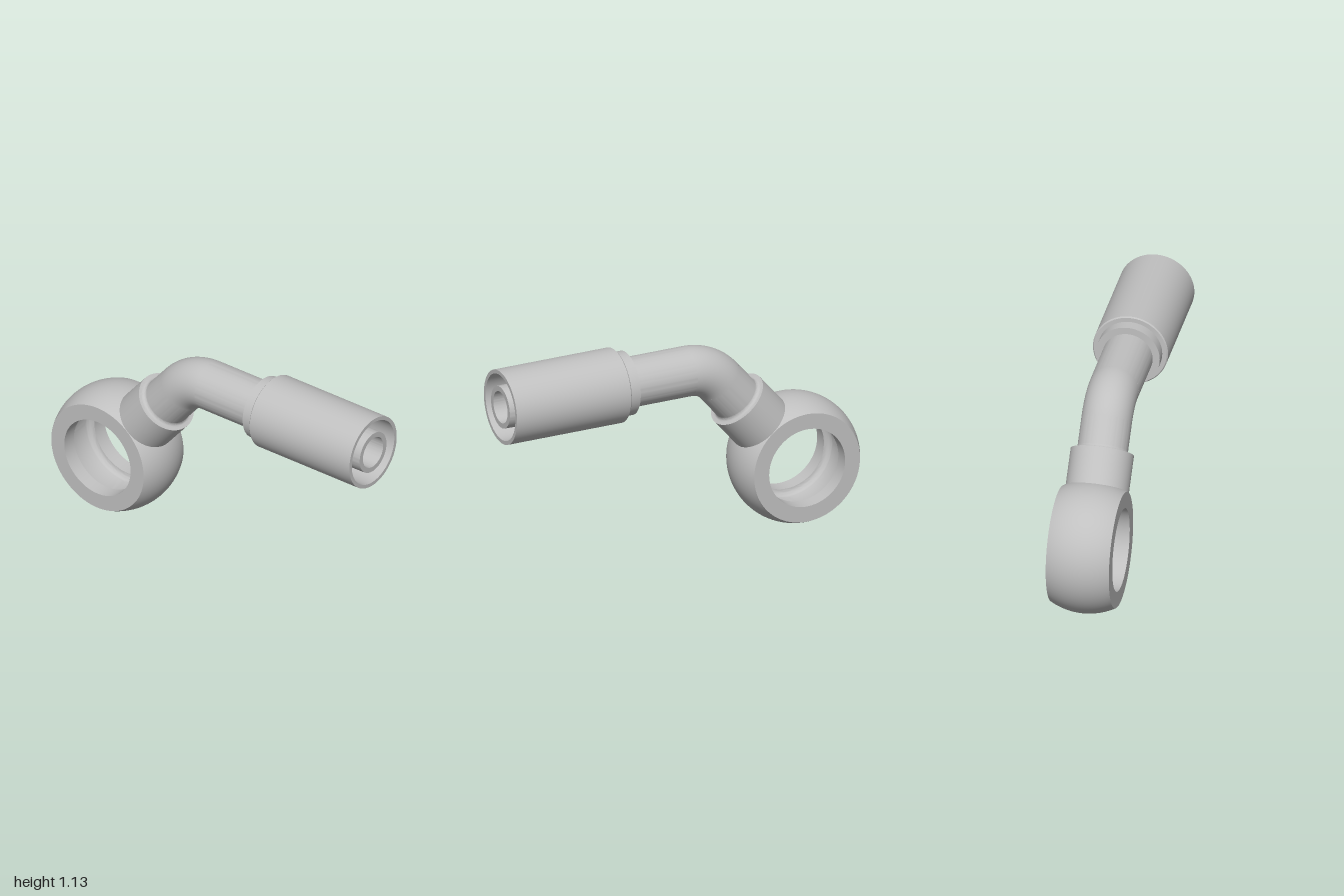
import * as THREE from 'three';
import { toCreasedNormals } from 'three/addons/utils/BufferGeometryUtils.js';

const BEND = THREE.MathUtils.degToRad(50);
const EYE = [-0.658, 0.343];      // centre of the ring eye
const AXIS_Y = 0.933;             // height of the straight pipe
const BEND_R = 0.23, PIPE_R = 0.13, BORE_R = 0.084;
const BEND_X = EYE[0] + (AXIS_Y - EYE[1]) / Math.tan(BEND) + BEND_R * Math.tan(BEND / 2);
const BEND_END = (AXIS_Y - EYE[1]) / Math.sin(BEND) - BEND_R * Math.tan(BEND / 2);

export function createModel() {
  const group = new THREE.Group();
  const steel = new THREE.MeshStandardMaterial({ color: 0xc0c0c0, side: THREE.DoubleSide });
  steel.name = 'steel grey';

  const add = (name, geometry, parent = group) => {
    const mesh = new THREE.Mesh(geometry, steel);
    mesh.name = name;
    parent.add(mesh);
    return mesh;
  };
  // Turned part: [radius, position along axis], sharp at corners
  const turned = (points) => toCreasedNormals(
    new THREE.LatheGeometry(points.map(([r, y]) => new THREE.Vector2(r, y)), 96), 0.45);
  const arc = (cr, cy, r, from, to, n) => Array.from({ length: n + 1 }, (_, i) => {
    const a = from + (to - from) * i / n;
    return [cr + r * Math.cos(a), cy + r * Math.sin(a)];
  });

  // Ring eye: spherical outside, bore with a rounded inner groove
  const R = 0.342, half = 0.165, a = Math.asin(half / R);
  const eye = add('ringEye', turned([
    ...arc(0, 0, R, -a, a, 20),
    [0.215, half], [0.215, 0.085],
    ...arc(0.215, 0.05, 0.035, Math.PI / 2, 0, 8),
    ...arc(0.215, -0.05, 0.035, 0, -Math.PI / 2, 8),
    [0.215, -half], [R * Math.cos(a), -half],
  ]));
  eye.rotation.x = Math.PI / 2;
  eye.position.set(EYE[0], EYE[1], 0);

  // Inclined neck, measured outward from the eye centre
  const neck = new THREE.Group();
  neck.name = 'neck';
  neck.position.set(EYE[0], EYE[1], 0);
  neck.rotation.z = BEND - Math.PI / 2;
  group.add(neck);
  add('neckCollar', turned([
    [0.163, 0.27], [0.163, 0.495], [0.148, 0.495],
    ...arc(0.148, 0.513, 0.018, -Math.PI / 2, -Math.PI, 6),
  ]), neck);
  add('lowerPipe', turned([[PIPE_R, 0.3], [PIPE_R, BEND_END]]), neck);
  add('lowerBore', turned([[BORE_R, BEND_END], [BORE_R, 0.255]]), neck);

  // Pipe bend, outside and bore
  for (const [name, r] of [['pipeBend', PIPE_R], ['bendBore', BORE_R]]) {
    const bend = add(name, new THREE.TorusGeometry(BEND_R, r, 64, 40, BEND));
    bend.rotation.z = Math.PI / 2;
    bend.position.set(BEND_X, AXIS_Y - BEND_R, 0);
  }

  // Straight end: local y runs along +x
  const straight = new THREE.Group();
  straight.name = 'straightEnd';
  straight.position.y = AXIS_Y;
  straight.rotation.z = -Math.PI / 2;
  group.add(straight);
  add('straightPipe', turned([[PIPE_R, BEND_X], [PIPE_R, 0.3]]), straight);
  // Crimp sleeve with a stepped back and slightly tapered cavity
  add('crimpSleeve', turned([
    [PIPE_R - 0.005, 0.285], [0.167, 0.285], [0.167, 0.347], [0.19, 0.347], [0.196, 0.353],
    [0.196, 1], [0.176, 1], [0.168, 0.4], [0.1, 0.4],
  ]), straight);
  // Hose nipple inside the sleeve, with the through bore
  add('hoseNipple', turned([
    [0.122, 0.4], [0.111, 1], [BORE_R, 1], [BORE_R, BEND_X],
  ]), straight);

  return group;
}
